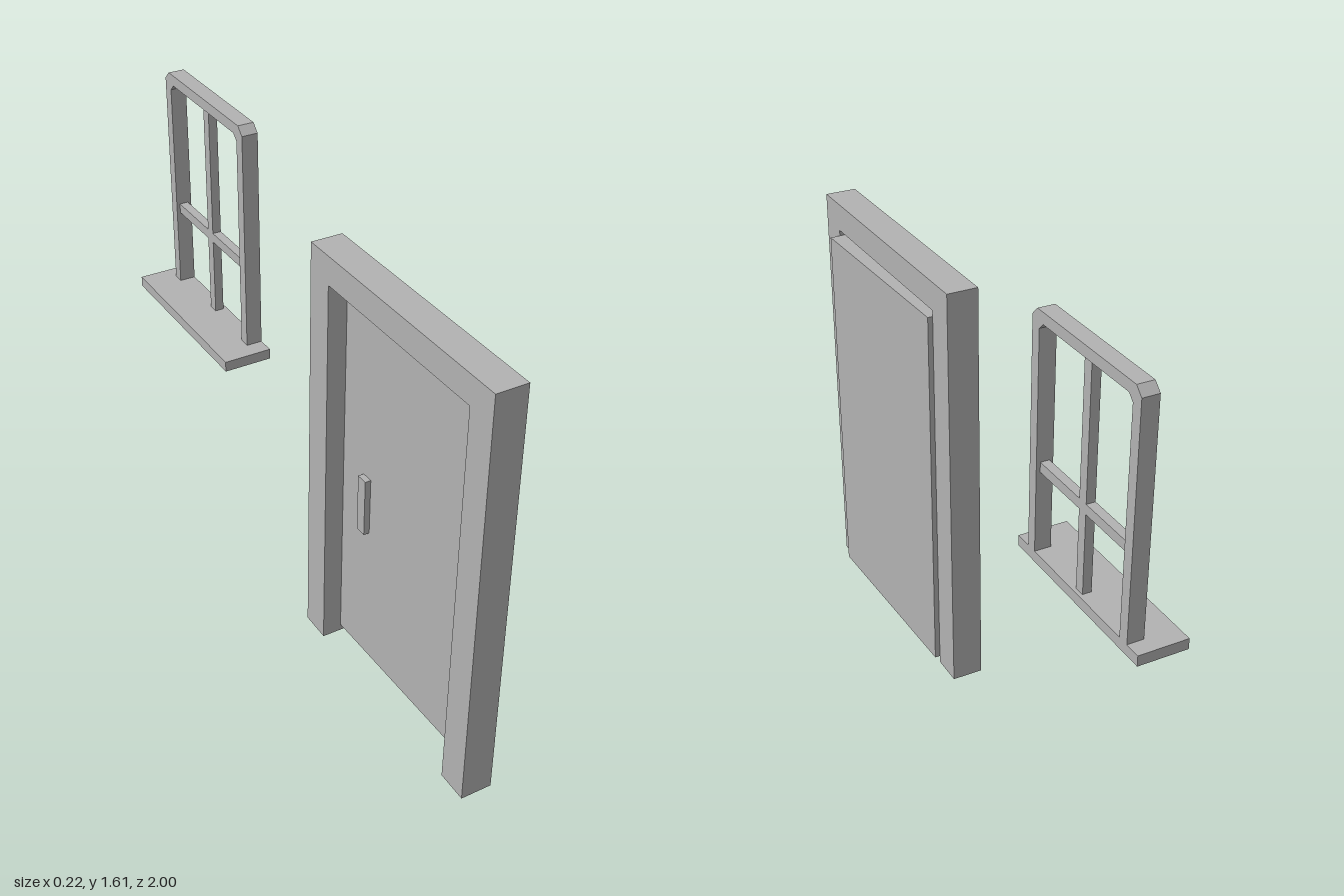
import * as THREE from 'three';

const grey = new THREE.MeshStandardMaterial({ color: 0xb2b2b2 });
grey.name = 'plain grey';

// Slight sideways lean shared by the door frame and the door leaf
const lean = (y) => 0.004 * (y / 1.45);

function reshape(geometry, rule) {
  const p = geometry.attributes.position;
  const v = new THREE.Vector3();
  for (let i = 0; i < p.count; i++) {
    v.fromBufferAttribute(p, i);
    rule(v);
    p.setXYZ(i, v.x, v.y, v.z);
  }
  geometry.computeVertexNormals();
  return geometry;
}

function addMesh(parent, name, geometry) {
  const mesh = new THREE.Mesh(geometry, grey);
  mesh.name = name;
  parent.add(mesh);
  return mesh;
}

// Box given by its minimum and maximum corners
function box([x0, y0, z0], [x1, y1, z1]) {
  return new THREE.BoxGeometry(x1 - x0, y1 - y0, z1 - z0)
    .translate((x0 + x1) / 2, (y0 + y1) / 2, (z0 + z1) / 2);
}

// Outline of [z, y] points extruded along x
function panel(points, x0, x1) {
  const shape = new THREE.Shape(points.map(([z, y]) => new THREE.Vector2(z, y)));
  return new THREE.ExtrudeGeometry(shape, { depth: x1 - x0, bevelEnabled: false })
    .rotateY(-Math.PI / 2)
    .translate(x1, 0, 0);
}

function createDoor() {
  const door = new THREE.Group();
  door.name = 'door';

  // Two jambs and a header in one piece, open at the bottom
  const frame = panel([
    [0.07, 0], [0.178, 0], [0.182, 1.357], [0.898, 1.357],
    [0.893, 0], [1, 0], [1, 1.452], [0.08, 1.452],
  ], -0.033, 0.073);
  addMesh(door, 'doorFrame', reshape(frame, (v) => { v.x += lean(v.y); }));

  // Leaf standing slightly ajar, with a gap under the header
  const ajar = (v) => { v.x += 0.017 * (v.z - 0.18) / 0.72 + lean(v.y); };
  const leaf = box([0.032, 0.025, 0.18], [0.09, 1.337, 0.898]);
  addMesh(door, 'doorLeaf', reshape(leaf, ajar));

  // Upright pull handle
  const handle = box([0.012, 0.525, 0.295], [0.034, 0.73, 0.335]);
  addMesh(door, 'doorHandle', reshape(handle, ajar));
  return door;
}

function createWindow() {
  const win = new THREE.Group();
  win.name = 'window';
  const middle = -0.672;

  // Arch outline with cut corners
  const arch = (half, top, cut) => [
    [middle - half, 0.83], [middle - half, top - cut], [middle - half + cut, top],
    [middle + half - cut, top], [middle + half, top - cut], [middle + half, 0.83],
  ];
  const outline = [...arch(0.273, 1.613, 0.026), ...arch(0.235, 1.577, 0.02).reverse()];
  addMesh(win, 'windowFrame', panel(outline, 0, 0.055));

  // Glazing bars
  addMesh(win, 'uprightBar', box([0.012, 0.83, middle - 0.018], [0.042, 1.577, middle + 0.018]));
  addMesh(win, 'crossBar', box([0.012, 1.1, middle - 0.235], [0.042, 1.133, middle + 0.235]));

  // Deep sill
  addMesh(win, 'windowSill', box([-0.111, 0.796, -1], [0.055, 0.832, -0.34]));
  return win;
}

export function createModel() {
  const model = new THREE.Group();
  model.name = 'doorAndWindow';
  model.add(createDoor(), createWindow());
  return model;
}
